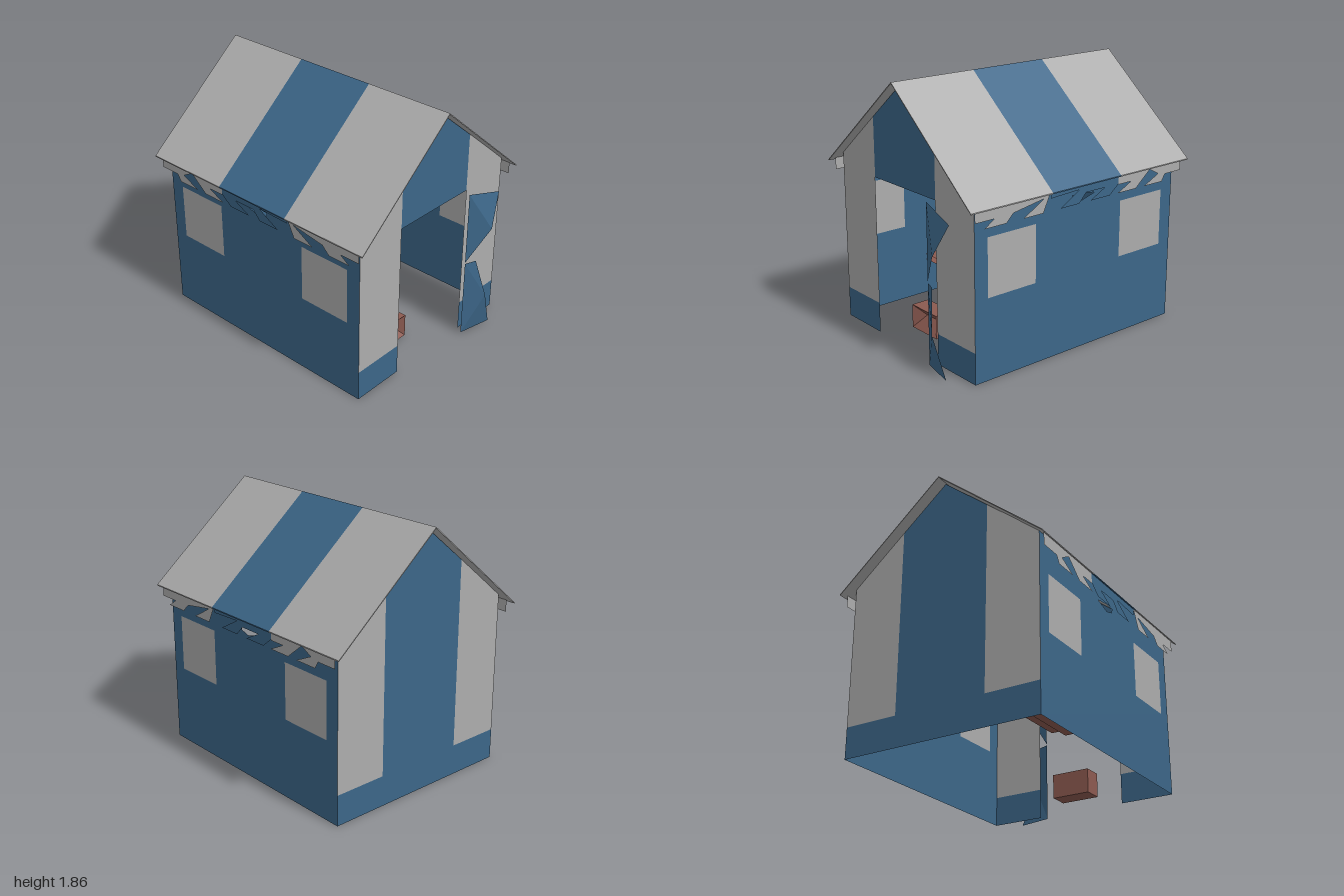
import * as THREE from 'three';

const material = (name, color) => {
  const m = new THREE.MeshStandardMaterial({ color, side: THREE.DoubleSide, flatShading: true });
  m.name = name;
  return m;
};

export function createModel() {
  const blue = material('blue canvas', 0x3c6688);
  const grey = material('grey canvas', 0xacacac);
  const brown = material('brown wood', 0x8c5a50);

  const model = new THREE.Group();
  model.name = 'marketTent';

  const add = (name, geometry, mat) => {
    const mesh = new THREE.Mesh(geometry, mat);
    mesh.name = name;
    model.add(mesh);
    return mesh;
  };
  const shapeOf = (pts) => new THREE.Shape(pts.map(([x, y]) => new THREE.Vector2(x, y)));
  // Flat cloth facing front or back, outlined in x and y
  const endPanel = (name, pts, z, mat) =>
    add(name, new THREE.ShapeGeometry(shapeOf(pts)).translate(0, 0, z), mat);
  // Flat cloth on a long side, outlined in z and y
  const sidePanel = (name, pts, x, mat, holes = []) => {
    const shape = shapeOf(pts);
    shape.holes = holes.map(shapeOf);
    return add(name, new THREE.ShapeGeometry(shape).rotateY(-Math.PI / 2).translate(x, 0, 0), mat);
  };
  const rect = (x0, x1, y0, y1) => [[x0, y0], [x1, y0], [x1, y1], [x0, y1]];
  // Free-form faces given as polygons of corner points, fanned into triangles
  const faces = (polygons) => {
    const pos = [];
    for (const p of polygons)
      for (let i = 1; i < p.length - 1; i++) pos.push(...p[0], ...p[i], ...p[i + 1]);
    const g = new THREE.BufferGeometry();
    g.setAttribute('position', new THREE.Float32BufferAttribute(pos, 3));
    g.computeVertexNormals();
    return g;
  };

  const W = 0.735, D = 0.34, FRONT = 0.865, BACK = -0.915;
  const EAVE = 1.235, PEAK = 1.838, BASE = 0.22, SHOULDER = 1.56;

  // Grey end panels, the same four times
  for (const s of [-1, 1])
    for (const z of [FRONT, BACK])
      endPanel(z > 0 ? 'frontSidePanel' : 'backSidePanel',
        [[s * D, BASE], [s * W, BASE], [s * W, EAVE], [s * D, SHOULDER]], z, grey);

  // Blue front: gable over the doorway and a skirt on either side
  endPanel('frontGable', [[-D, 1.14], [D, 1.14], [D, SHOULDER], [0, PEAK], [-D, SHOULDER]], FRONT, blue);
  for (const s of [-1, 1]) endPanel('frontSkirt', rect(s * D, s * W, 0, BASE), FRONT, blue);

  // Blue back: centre panel and skirt
  endPanel('backCentre', [[-D, BASE], [D, BASE], [D, SHOULDER], [0, PEAK], [-D, SHOULDER]], BACK, blue);
  endPanel('backSkirt', rect(-W, W, 0, BASE), BACK, blue);

  // Long walls with two windows and a tear, and ragged valances under the eaves
  const windows = [rect(0.36, 0.76, 0.57, 0.975), rect(-0.81, -0.405, 0.57, 0.975)];
  const tear = [[0.045, 1.1], [-0.03, 1.105], [-0.155, 1.085], [-0.03, 1.05], [0.04, 1.07]];
  const valanceFront = [[0.9, 1.19], [0.9, 1.105], [0.75, 1.105], [0.825, 1.055], [0.65, 1.055],
    [0.595, 1.11], [0.345, 1.15], [0.51, 1.055], [0.345, 1.055], [0.28, 1.19]];
  const valanceMiddle = [[0.28, 1.19], [0.28, 1.14], [0.03, 1.15], [0.2, 1.055], [0.03, 1.055],
    [-0.03, 1.12], [-0.2, 1.12], [-0.07, 1.055], [-0.25, 1.055], [-0.33, 1.12], [-0.33, 1.19]];
  const valanceBack = [[-0.33, 1.19], [-0.33, 1.115], [-0.45, 1.115], [-0.325, 1.055], [-0.5, 1.055],
    [-0.635, 1.165], [-0.72, 1.12], [-0.58, 1.055], [-0.76, 1.055], [-0.79, 1.105],
    [-0.945, 1.105], [-0.945, 1.19]];
  for (const s of [-1, 1]) {
    sidePanel('sideWall', rect(BACK, FRONT, 0, EAVE), s * W, blue, [...windows, tear]);
    for (const w of windows) sidePanel('window', w, s * W, grey);
    sidePanel('valanceFront', valanceFront, s * 0.785, grey);
    sidePanel('valanceMiddle', valanceMiddle, s * 0.785, blue);
    sidePanel('valanceBack', valanceBack, s * 0.785, grey);
  }

  // Pitched roof in three bands
  const R = 0.805, T = 0.008;
  const chevron = shapeOf([[0, 1.855], [-R, 1.182], [-R, 1.182 - T], [0, 1.855 - T], [R, 1.182 - T], [R, 1.182]]);
  for (const [name, z0, z1, mat] of [
    ['roofFront', 0.28, 0.945, grey],
    ['roofStripe', -0.335, 0.28, blue],
    ['roofBack', -1, -0.335, grey],
  ]) {
    const g = new THREE.ExtrudeGeometry(chevron, { depth: z1 - z0, bevelEnabled: false });
    add(name, g.translate(0, 0, z0), mat);
  }

  // Door flap folded open in two pieces
  add('doorFlapUpper', faces([
    [[0.31, 1.135, 0.915], [0.48, 0.83, 1.0], [0.6, 1.06, 0.955]],
    [[0.31, 1.135, 0.915], [0.31, 0.595, 0.915], [0.48, 0.83, 1.0]],
  ]), blue);
  add('doorFlapLower', faces([
    [[0.31, 0.585, 0.915], [0.46, 0.29, 1.0], [0.395, 0.585, 0.945]],
    [[0.31, 0.585, 0.915], [0.31, 0, 0.915], [0.46, 0.29, 1.0]],
    [[0.31, 0, 0.915], [0.565, 0, 0.97], [0.46, 0.29, 1.0]],
  ]), blue);

  // Crate with a hipped hollow in its front
  const [x0, x1, y1, z0, z1] = [-0.265, 0.015, 0.172, 0.5, 0.64];
  const a = [x0, 0, z1], b = [x1, 0, z1], c = [x1, y1, z1], d = [x0, y1, z1];
  const e = [x0, 0, z0], f = [x1, 0, z0], g = [x1, y1, z0], h = [x0, y1, z0];
  const p = [-0.18, 0.1, 0.57], q = [-0.075, 0.1, 0.57];
  add('crate', faces([
    [a, b, q, p], [b, c, q], [c, d, p, q], [d, a, p],
    [b, f, g, c], [f, e, h, g], [e, a, d, h], [d, c, g, h], [a, e, f, b],
  ]), brown);

  // Low table of two thin boards
  const board = (name, xa, xb, y) =>
    add(name, new THREE.PlaneGeometry(xb - xa, 1.08).rotateX(-Math.PI / 2)
      .translate((xa + xb) / 2, y, -0.16), brown);
  board('tableTop', -0.45, -0.05, 0.44);
  board('tableShelf', -0.45, -0.16, 0.4);

  return model;
}
